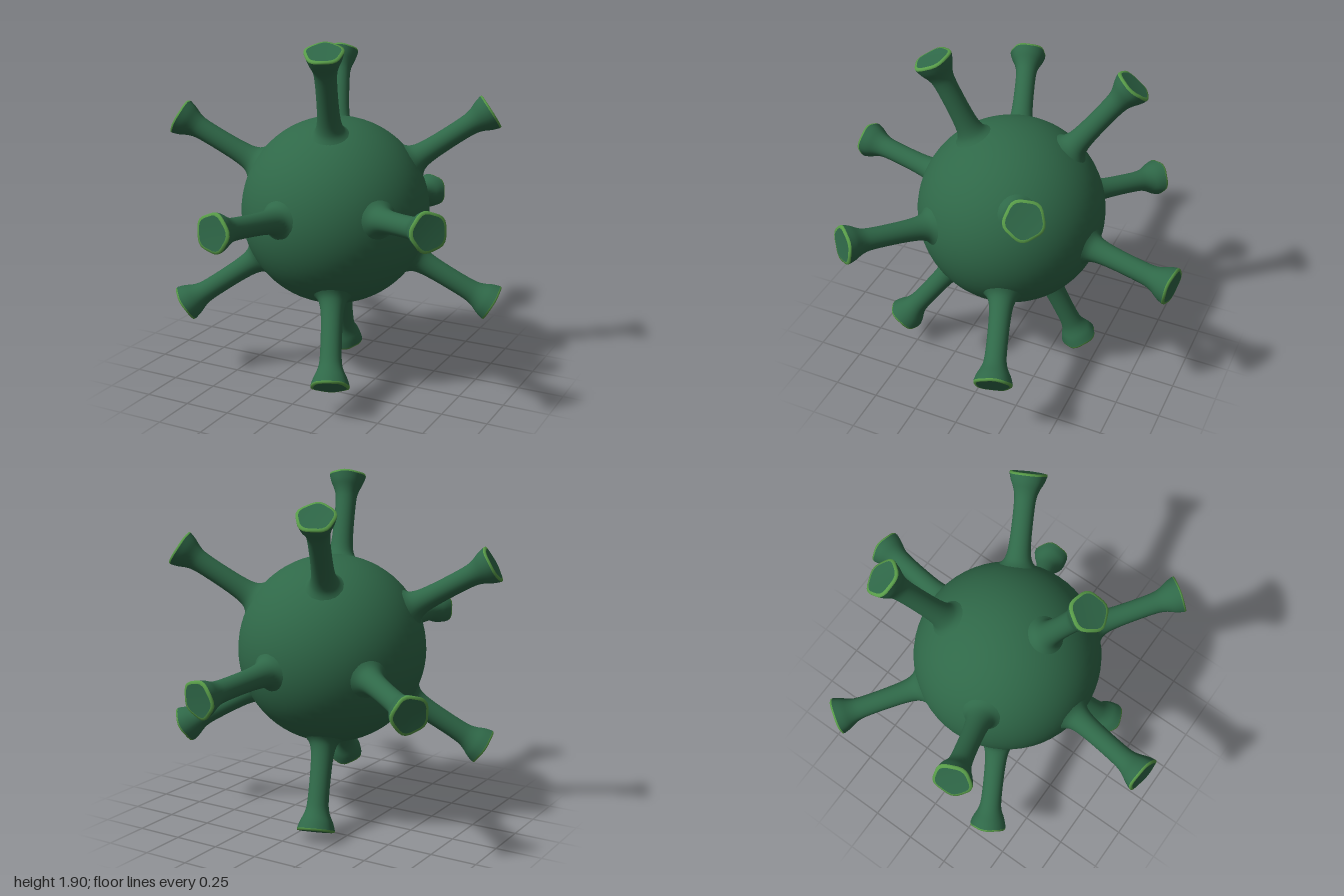
import * as THREE from 'three';

const CENTER_Y = 0.952;

// Lathe whose outer end swells into a soft pentagon
function pentagonLathe(profile) {
  const curve = profile.map(([r, y]) => new THREE.Vector2(r, y));
  const geo = new THREE.LatheGeometry(curve, 30);
  const p = geo.attributes.position;
  for (let i = 0; i < p.count; i++) {
    const x = p.getX(i), y = p.getY(i), z = p.getZ(i);
    const amount = THREE.MathUtils.smoothstep(y, 0.82, 0.96) * 0.045;
    const k = 1 + amount * Math.cos(5 * Math.atan2(z, x));
    p.setXYZ(i, x * k, y, z * k);
  }
  return geo;
}

export function createModel() {
  const model = new THREE.Group();
  model.name = 'spikedSphere';

  const green = new THREE.MeshStandardMaterial({ color: 0x2f6848 });
  green.name = 'deep green';
  const light = new THREE.MeshStandardMaterial({ color: 0x589c48 });
  light.name = 'light green';

  // Round core
  const core = new THREE.Mesh(new THREE.SphereGeometry(0.512, 56, 36), green);
  core.name = 'core';
  core.position.y = CENTER_Y;
  model.add(core);

  // Stalk with a filleted root and a trumpet-shaped tip
  const stalkCurve = new THREE.SplineCurve([
    [0.13, 0.48], [0.088, 0.512], [0.068, 0.55], [0.059, 0.62], [0.056, 0.74],
    [0.058, 0.85], [0.068, 0.9], [0.088, 0.945], [0.1, 0.984],
  ].map(([r, y]) => new THREE.Vector2(r, y)));
  const stalkGeo = pentagonLathe(stalkCurve.getPoints(28).map((v) => [v.x, v.y]));
  const rimGeo = pentagonLathe([[0.1, 0.984], [0.099, 0.994], [0.086, 0.996]]);
  const capGeo = pentagonLathe([[0.086, 0.996], [0.04, 0.994], [0, 0.994]]);

  // Six axes through the core, each with a spike at both ends
  const axes = [
    [0.13, 0.91, 0.38], [-0.26, 0.78, -0.57], [-0.16, 0.1, 0.98],
    [-0.82, 0.49, 0.26], [0.79, 0.13, 0.58], [0.73, 0.54, -0.39],
  ].map((a) => new THREE.Vector3(...a).normalize());
  const directions = axes.flatMap((a) => [a, a.clone().negate()]);

  directions.forEach((dir, i) => {
    const spike = new THREE.Group();
    spike.name = `spike${i + 1}`;
    for (const [name, geo, mat] of [
      ['stalk', stalkGeo, green], ['tipRim', rimGeo, light], ['tipCap', capGeo, green],
    ]) {
      const mesh = new THREE.Mesh(geo, mat);
      mesh.name = name;
      spike.add(mesh);
    }
    // Pentagon corners point to the neighbouring spikes
    const neighbour = directions.find((d) => d.dot(dir) > 0.3 && d.dot(dir) < 0.6);
    const xAxis = neighbour.clone().addScaledVector(dir, -neighbour.dot(dir)).normalize();
    const zAxis = new THREE.Vector3().crossVectors(xAxis, dir);
    spike.quaternion.setFromRotationMatrix(new THREE.Matrix4().makeBasis(xAxis, dir, zAxis));
    spike.position.y = CENTER_Y;
    model.add(spike);
  });

  return model;
}
